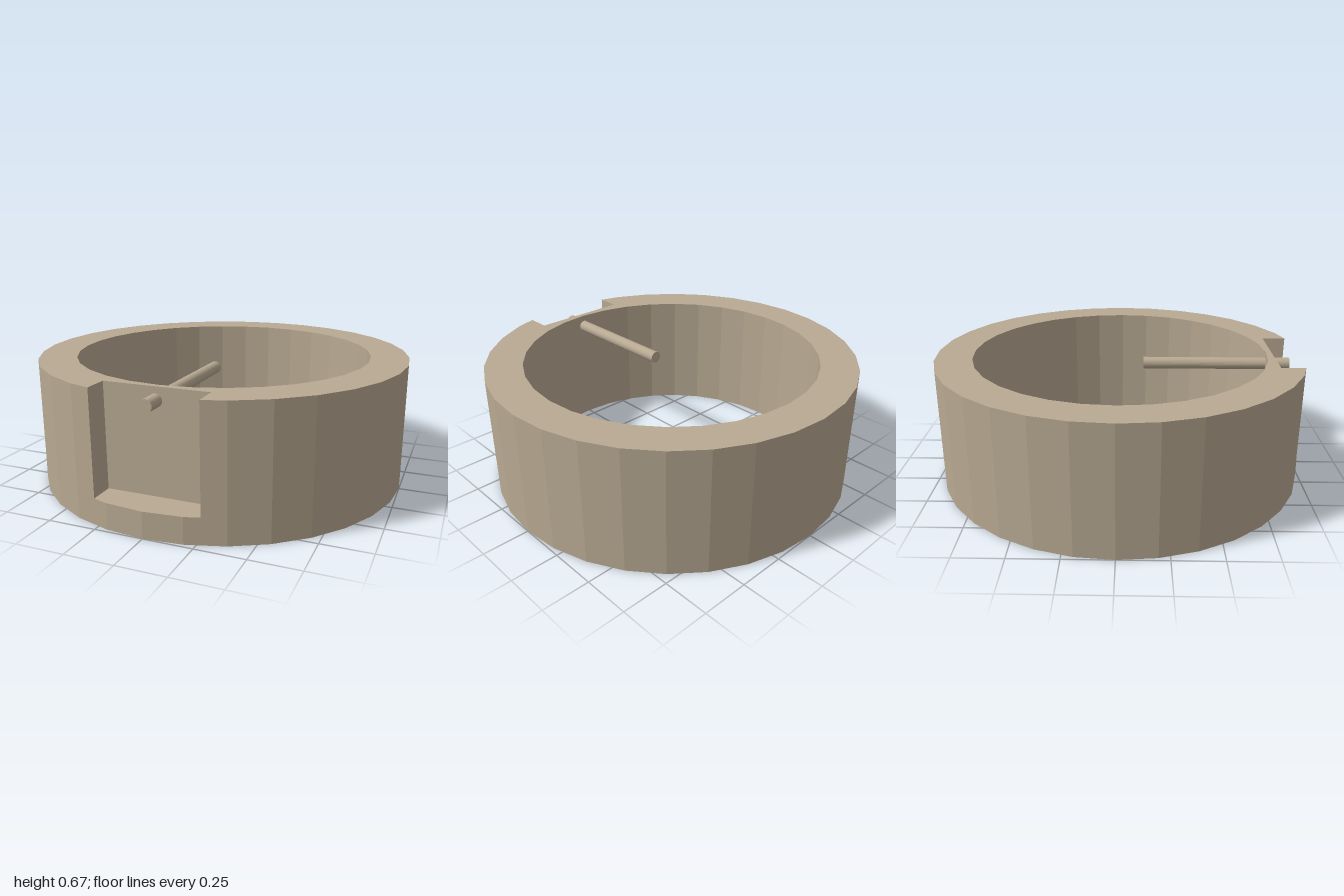
import * as THREE from 'three';

const SIDES = 32, OUTER = 1, INNER = 0.8;
const HEIGHT = 0.67, LEDGE = 0.135;       // ring height, floor of the recess
const HALF = 0.27, BACK = 0.83, EDGE = 0.958; // recess half width, back wall, outer corner

// Points of the regular polygon, counted from the front (shape y is -z)
function polygon(radius, from, to) {
  const points = [];
  for (let k = from; k <= to; k++) {
    const a = -Math.PI / 2 + (k * 2 * Math.PI) / SIDES;
    points.push(new THREE.Vector2(radius * Math.cos(a), radius * Math.sin(a)));
  }
  return points;
}

// Upright extrusion of an outline around the round bore
function ringLayer(outline, y0, y1) {
  const shape = new THREE.Shape(outline);
  shape.holes.push(new THREE.Path(polygon(INNER, 0, SIDES - 1)));
  const geometry = new THREE.ExtrudeGeometry(shape, { depth: y1 - y0, bevelEnabled: false });
  return geometry.rotateX(-Math.PI / 2).translate(0, y0, 0);
}

export function createModel() {
  const model = new THREE.Group();
  model.name = 'ringWithPin';
  const material = new THREE.MeshStandardMaterial({ color: 0xb8a992, flatShading: true });

  const add = (name, geometry) => {
    const mesh = new THREE.Mesh(geometry, material);
    mesh.name = name;
    model.add(mesh);
    return mesh;
  };

  // Full ring below the recess
  add('ringBase', ringLayer(polygon(OUTER, 0, SIDES - 1), 0, LEDGE));

  // Ring with the flat recess cut into its front
  const notched = [
    new THREE.Vector2(HALF, -EDGE),
    ...polygon(OUTER, 2, SIDES - 2),
    new THREE.Vector2(-HALF, -EDGE),
    new THREE.Vector2(-HALF, -BACK),
    new THREE.Vector2(HALF, -BACK),
  ];
  add('notchedRing', ringLayer(notched, LEDGE, HEIGHT));

  // Pin through the recess wall, pointing at the centre
  const pin = add('pin', new THREE.CylinderGeometry(0.032, 0.032, 0.8, 32).rotateX(Math.PI / 2));
  pin.position.set(0, 0.605, 0.53);

  return model;
}
